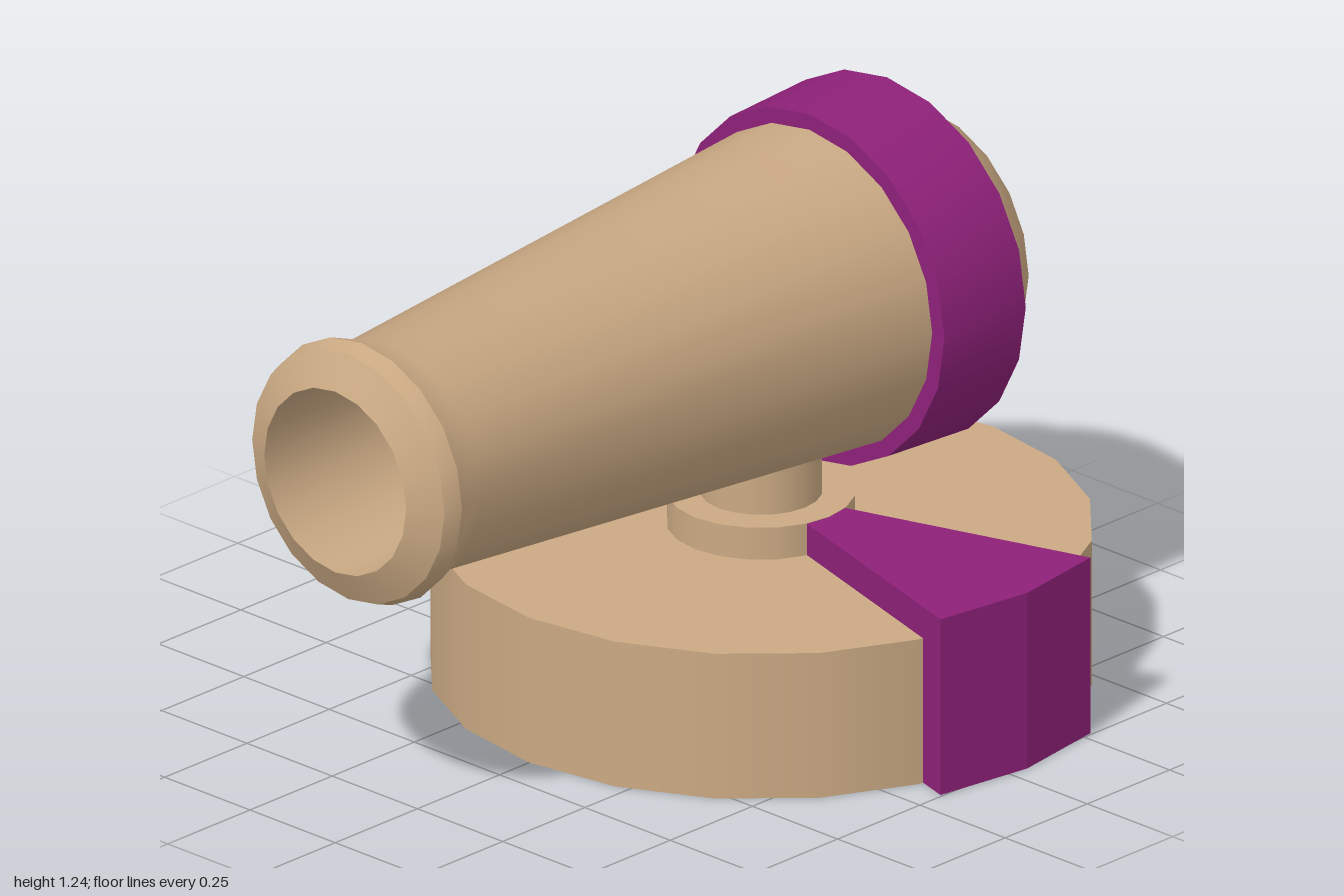
import * as THREE from 'three';
import { toCreasedNormals } from 'three/addons/utils/BufferGeometryUtils.js';

const SIDES = 20;
const AXIS_Y = 0.83;   // height of the barrel axis
const PIVOT_Z = -0.295; // centre of the base

export function createModel() {
  const model = new THREE.Group();
  model.name = 'cannon';

  const tan = new THREE.MeshStandardMaterial({ color: 0xcaa983 });
  tan.name = 'tan';
  const purple = new THREE.MeshStandardMaterial({ color: 0x8e2179 });
  purple.name = 'purple';

  const add = (parent, name, geometry, material) => {
    const mesh = new THREE.Mesh(geometry, material);
    mesh.name = name;
    parent.add(mesh);
    return mesh;
  };

  // Turned part along z; profile holds [radius, z] pairs running rear to front
  const turned = (profile, crease = 0.6) => {
    const points = profile.map(([r, z]) => new THREE.Vector2(r, z));
    const geometry = new THREE.LatheGeometry(points, SIDES).rotateX(Math.PI / 2);
    return toCreasedNormals(geometry, crease);
  };

  // Carriage: round base, collar and neck
  const carriage = new THREE.Group();
  carriage.name = 'carriage';
  carriage.position.z = PIVOT_Z;
  model.add(carriage);

  const drum = (name, radius, bottom, top) => {
    const geometry = new THREE.CylinderGeometry(radius, radius, top - bottom, SIDES);
    add(carriage, name, geometry, tan).position.y = (bottom + top) / 2;
  };
  drum('base', 0.705, 0, 0.333);
  drum('collar', 0.2, 0.3, 0.406);
  drum('neck', 0.13, 0.38, 0.6);

  // Two wedge-shaped side blocks, sectors of a circle around the neck
  const half = THREE.MathUtils.degToRad(17);
  const polar = (r, a) => new THREE.Vector2(r * Math.cos(a), r * Math.sin(a));
  const sector = new THREE.Shape([
    polar(0.19, -half), polar(0.78, -half), polar(0.78, 0), polar(0.78, half), polar(0.19, half),
  ]);
  const wedge = new THREE.ExtrudeGeometry(sector, { depth: 0.404, bevelEnabled: false });
  wedge.rotateX(-Math.PI / 2).translate(0, 0.001, 0);
  add(carriage, 'leftBlock', wedge, purple);
  add(carriage, 'rightBlock', wedge, purple).rotation.y = Math.PI;

  // Gun: everything turned around the barrel axis
  const gun = new THREE.Group();
  gun.name = 'gun';
  gun.position.y = AXIS_Y;
  model.add(gun);

  // Barrel with flared muzzle and hollow bore
  add(gun, 'barrel', turned([
    [0.37, -0.67], [0.36, -0.44], [0.262, 0.83], [0.295, 0.92], [0.282, 0.96],
    [0.208, 1], [0.208, 0.35], [0, 0.35],
  ]), tan);

  // Domed breech
  add(gun, 'breech', turned([
    [0, -0.878], [0.06, -0.876], [0.24, -0.84], [0.295, -0.803], [0.37, -0.675], [0.37, -0.66],
  ]), tan);

  // Reinforcing band, slightly wider at the back
  add(gun, 'band', turned([
    [0.34, -0.678], [0.407, -0.678], [0.396, -0.442], [0.34, -0.442],
  ]), purple);

  // Stepped button at the back
  add(gun, 'fuseButton', turned([
    [0, -0.922], [0.034, -0.922], [0.034, -0.906], [0.057, -0.906], [0.057, -0.87],
  ]), tan);

  // Curved fuse
  const path = new THREE.CatmullRomCurve3([
    new THREE.Vector3(0, 0, -0.91), new THREE.Vector3(0, 0, -0.945),
    new THREE.Vector3(0, 0.006, -0.97), new THREE.Vector3(0, 0.026, -0.992),
  ]);
  add(gun, 'fuse', new THREE.TubeGeometry(path, 10, 0.011, 8), tan);
  const tip = new THREE.CircleGeometry(0.011, 8);
  const cap = add(gun, 'fuseTip', tip, tan);
  cap.position.copy(path.getPoint(1));
  cap.quaternion.setFromUnitVectors(new THREE.Vector3(0, 0, 1), path.getTangent(1));

  return model;
}
